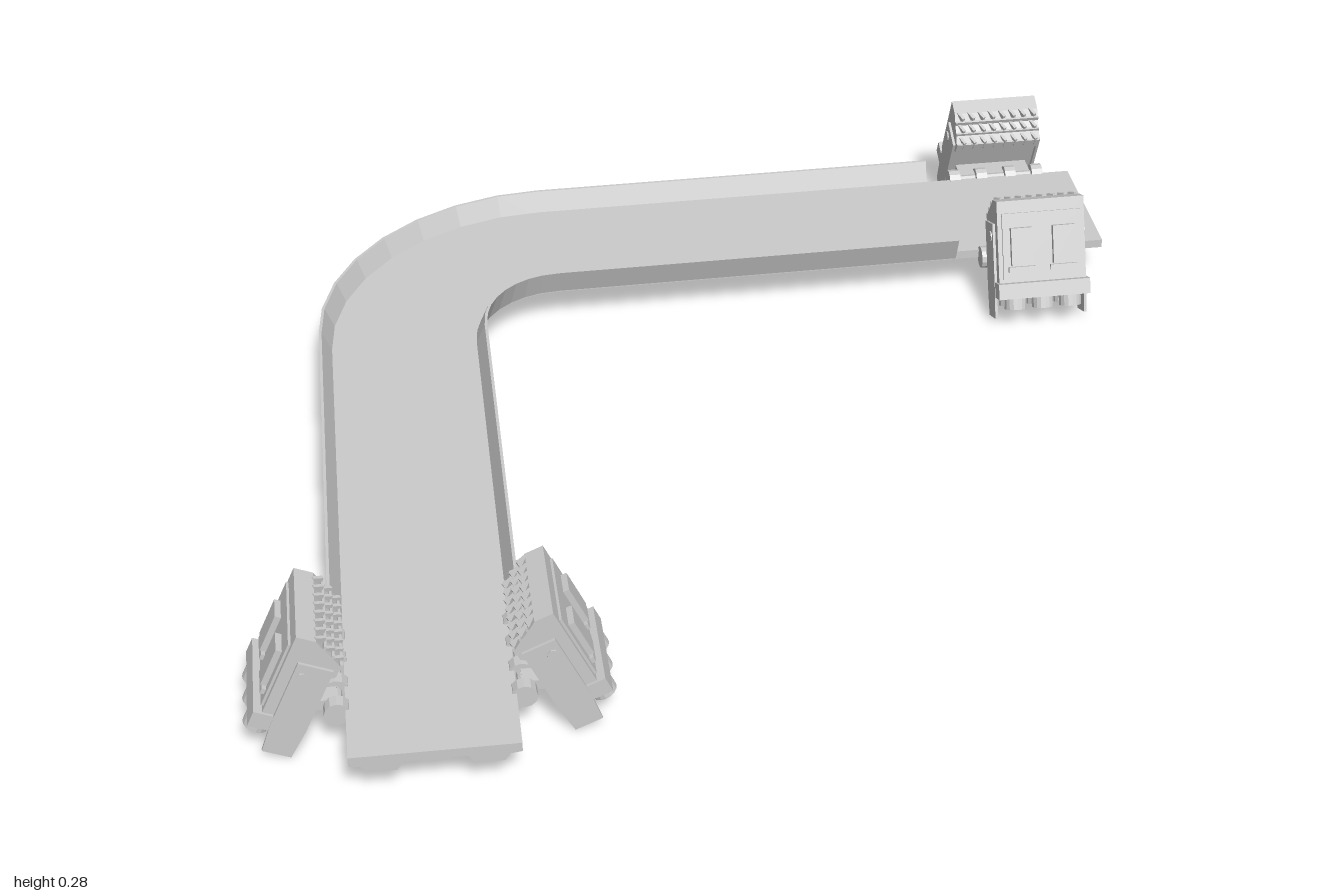
import * as THREE from 'three';

const material = new THREE.MeshStandardMaterial({ color: 0xcccccc, flatShading: true, side: THREE.DoubleSide });

function add(parent, name, geometry, x = 0, y = 0, z = 0) {
  const mesh = new THREE.Mesh(geometry, material);
  mesh.name = name;
  mesh.position.set(x, y, z);
  parent.add(mesh);
  return mesh;
}

const box = (w, h, d) => new THREE.BoxGeometry(w, h, d);

// Centre line in (x, z): two straight arms joined by a rounded corner.
function centreLine(startZ, endX) {
  const points = [new THREE.Vector2(-0.63 - 0.015 * (startZ + 0.3) / 1.3, startZ)];
  for (let i = 0; i <= 8; i++) {
    const a = (i / 8) * Math.PI / 2;
    points.push(new THREE.Vector2(-0.28 - 0.35 * Math.cos(a), -0.3 - 0.355 * Math.sin(a)));
  }
  points.push(new THREE.Vector2(endX, -0.655 - 0.008 * (endX + 0.28) / 1.265));
  return points;
}

// Sweeps a counter-clockwise section of [outward offset, height] along a path, with mitred joints.
function sweep(section, path) {
  const rings = path.map((p, i) => {
    const before = p.clone().sub(path[Math.max(i - 1, 0)]).normalize();
    const after = path[Math.min(i + 1, path.length - 1)].clone().sub(p).normalize();
    const t = before.clone().add(after).normalize();
    const miter = 1 / Math.max(t.dot(before), t.dot(after));
    return section.map(([s, y]) => [p.x + t.y * s * miter, y, p.y - t.x * s * miter]);
  });
  const positions = [];
  const tri = (a, b, c) => positions.push(...a, ...b, ...c);
  for (let i = 0; i + 1 < rings.length; i++) {
    for (let j = 0; j < section.length; j++) {
      const k = (j + 1) % section.length;
      tri(rings[i][j], rings[i][k], rings[i + 1][k]);
      tri(rings[i][j], rings[i + 1][k], rings[i + 1][j]);
    }
  }
  const last = rings[rings.length - 1];
  const faces = THREE.ShapeUtils.triangulateShape(section.map(([s, y]) => new THREE.Vector2(s, y)), []);
  for (const [a, b, c] of faces) {
    tri(last[a], last[b], last[c]);
    tri(rings[0][a], rings[0][c], rings[0][b]);
  }
  const geometry = new THREE.BufferGeometry();
  geometry.setAttribute('position', new THREE.Float32BufferAttribute(positions, 3));
  geometry.computeVertexNormals();
  return geometry;
}

// Extrudes a [z, y] side outline across the width, centred on x = 0.
function slab(outline, width) {
  const shape = new THREE.Shape(outline.map(([z, y]) => new THREE.Vector2(-z, y)));
  const geometry = new THREE.ExtrudeGeometry(shape, { depth: width, bevelEnabled: false });
  return geometry.translate(0, 0, -width / 2).rotateY(Math.PI / 2);
}

// Clamp-on unit: +z faces away from the track, y runs up its tilted body.
function createPod() {
  const pod = new THREE.Group();
  pod.name = 'sidePod';
  add(pod, 'podBody', slab([
    [0.05, -0.075], [0.05, 0.133], [0.012, 0.133], [-0.008, 0.118], [-0.03, 0.105],
    [-0.05, 0.09], [-0.05, 0.065], [-0.03, 0.05], [-0.03, -0.06],
  ], 0.2));
  add(pod, 'lowerLedge', box(0.21, 0.035, 0.1), 0, -0.07, 0.017);
  add(pod, 'frontPanel', box(0.18, 0.15, 0.008), 0, 0.03, 0.051);

  for (const side of [-1, 1]) {
    add(pod, 'button', box(0.05, 0.085, 0.016), side * 0.048, 0.03, 0.059);
    add(pod, 'buttonFrame', box(0.062, 0.012, 0.012), side * 0.048, -0.022, 0.057);
    add(pod, 'sidePlate', slab([
      [0.022, -0.137], [0.028, -0.07], [0.028, 0.08], [-0.04, 0.08], [-0.04, -0.07], [-0.035, -0.137],
    ], 0.006), side * 0.103, 0, 0);
    add(pod, 'sideBoss', new THREE.CylinderGeometry(0.012, 0.012, 0.008, 8).rotateZ(Math.PI / 2), side * 0.105, 0.05, 0.01);
  }

  // Stepped rows of slanted fins on the upper inner edge
  for (let row = 0; row < 3; row++) {
    for (let i = 0; i < 8; i++) {
      const fin = add(pod, 'fin', box(0.007, 0.024, 0.022), -0.086 + i * 0.0246, 0.124 - row * 0.017, 0.004 - row * 0.023);
      fin.rotation.y = 0.45;
    }
    add(pod, 'finBar', box(0.2, 0.012, 0.005), 0, 0.121 - row * 0.016, -0.008 - row * 0.021);
  }

  // Two rows of open nozzles below the ledge
  const outline = new THREE.Shape().absarc(0, 0, 0.025, 0, Math.PI * 2);
  outline.holes.push(new THREE.Path().absarc(0, 0, 0.017, 0, Math.PI * 2, true));
  const nozzle = new THREE.ExtrudeGeometry(outline, { depth: 0.028, bevelEnabled: false, curveSegments: 8 });
  nozzle.rotateX(Math.PI / 2);
  for (const z of [-0.012, 0.042]) {
    for (const x of [-0.063, 0, 0.063]) add(pod, 'nozzle', nozzle, x, -0.085, z);
  }
  return pod;
}

// A pair of tilted pods on both sides of an arm; x runs along the arm.
function createPodPair() {
  const pair = new THREE.Group();
  pair.name = 'podPair';
  for (const side of [0, 1]) {
    const half = new THREE.Group();
    half.name = 'podMount';
    half.rotation.y = side * Math.PI;
    const pod = createPod();
    pod.position.set(0, 0.15, 0.24);
    pod.rotation.x = -0.42;
    half.add(pod);
    // Hinge rod between track and pod
    add(half, 'hingeRod', new THREE.CylinderGeometry(0.011, 0.011, 0.22, 10).rotateZ(Math.PI / 2), 0, 0.11, 0.172);
    for (const x of [-0.1, -0.035, 0.035, 0.1]) {
      add(half, 'hingeKnuckle', new THREE.CylinderGeometry(0.025, 0.025, 0.026, 12).rotateZ(Math.PI / 2), x, 0.11, 0.172);
    }
    add(half, 'hingeArm', box(0.17, 0.022, 0.05), 0, 0.112, 0.195);
    pair.add(half);
  }
  return pair;
}

export function createModel() {
  const model = new THREE.Group();
  model.name = 'cornerTrack';

  // Track bed with grooves along its underside
  add(model, 'trackBed', sweep([
    [-0.157, 0.1], [-0.135, 0.097], [-0.125, 0.082], [-0.07, 0.082], [-0.058, 0.1],
    [0.058, 0.1], [0.07, 0.082], [0.125, 0.082], [0.135, 0.097], [0.157, 0.1],
    [0.157, 0.12], [-0.157, 0.12],
  ], centreLine(1, 0.985)));
  add(model, 'centreRib', sweep([[-0.025, 0.088], [0.025, 0.088], [0.03, 0.101], [-0.03, 0.101]], centreLine(0.99, 0.975)));

  // Outward-leaning guard rails, shorter than the bed
  const railPath = centreLine(0.61, 0.64);
  const rail = [[0.15, 0.104], [0.16, 0.104], [0.182, 0.165], [0.176, 0.165]];
  add(model, 'outerRail', sweep(rail, railPath));
  add(model, 'innerRail', sweep(rail.map(([s, y]) => [-s, y]).reverse(), railPath));

  // Pod pairs near both open ends
  const frontPair = createPodPair();
  frontPair.position.set(-0.644, 0, 0.755);
  frontPair.rotation.y = Math.PI / 2;
  const sidePair = createPodPair();
  sidePair.position.set(0.808, 0, -0.661);
  model.add(frontPair, sidePair);
  return model;
}
